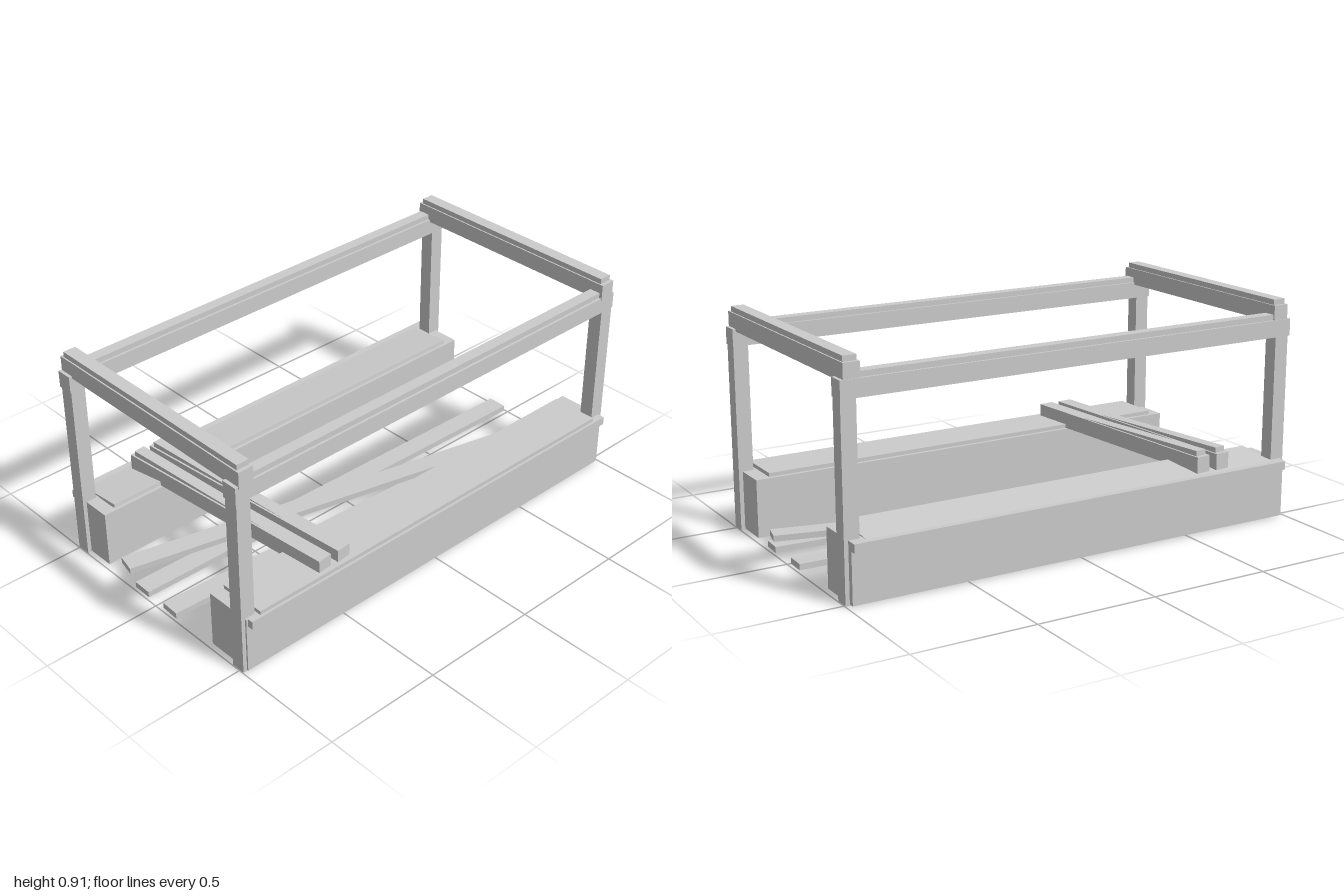
import * as THREE from 'three';

const material = new THREE.MeshStandardMaterial({ color: 0xcccccc, flatShading: true, side: THREE.DoubleSide });

export function createModel() {
  const model = new THREE.Group();

  // Box given by its extents; 'open' leaves out the underside
  function box(name, [x0, x1], [y0, y1], [z0, z1], open = false, parent = model) {
    const geometry = new THREE.BoxGeometry(x1 - x0, y1 - y0, z1 - z0);
    if (open) {
      const index = Array.from(geometry.index.array);
      index.splice(18, 6);
      geometry.setIndex(index);
      geometry.clearGroups();
    }
    const mesh = new THREE.Mesh(geometry, material);
    mesh.name = name;
    mesh.position.set((x0 + x1) / 2, (y0 + y1) / 2, (z0 + z1) / 2);
    parent.add(mesh);
    return mesh;
  }

  for (const s of [-1, 1]) {
    const side = s > 0 ? 'left' : 'right';
    const cx = s * 0.483 + 0.007;

    // Corner posts
    for (const e of [-1, 1]) {
      box(side + (e > 0 ? 'FrontPost' : 'BackPost'), [cx - 0.03, cx + 0.03], [0, 0.8],
        e > 0 ? [0.935, 0.997] : [-0.997, -0.935], true);
    }

    // Long rail with a thin strip on top
    const rx = s > 0 ? 0.488 : -0.48;
    box(side + 'Rail', [rx - 0.034, rx + 0.034], [0.76, 0.83], [-1, 1]);
    box(side + 'RailStrip', [rx - 0.024, rx + 0.024], [0.83, 0.852], [-0.98, 0.98]);

    // Long trough wall block and its outer lip
    box(side + 'Block', s > 0 ? [0.322, 0.527] : [-0.53, -0.325], [0.005, 0.245], [-0.98, 0.98], true);
    box(side + 'Lip', s > 0 ? [0.505, 0.551] : [-0.555, -0.51], [0.21, 0.245], [-0.98, 0.972]);

    // Thin plank lying on the block, the right one slightly tipped
    const plank = box(side + 'Plank', s > 0 ? [0.335, 0.541] : [-0.541, -0.335], [0.246, 0.262], [-0.92, 0.925]);
    if (s < 0) {
      plank.rotation.z = 0.1;
      plank.position.y = 0.246;
    }
  }

  // End beams with cap strips
  for (const e of [-1, 1]) {
    const end = e > 0 ? 'front' : 'back';
    const z = e * 0.953;
    box(end + 'Beam', [-0.511, 0.525], [0.82, 0.89], [z - 0.033, z + 0.033]);
    box(end + 'BeamCap', [-0.498, 0.51], [0.89, 0.912], [z - 0.027, z + 0.027]);
  }

  // Two loose bars resting askew across the blocks, each with a sloping strip
  [0.541, 0.636].forEach((z, i) => {
    const bar = new THREE.Group();
    bar.name = 'looseBar' + (i + 1);
    box('bar', [-0.517, 0.517], [0.246, 0.314], [-0.032, 0.032], false, bar);
    const strip = box('barStrip', [-0.5, 0.5], [0.298, 0.32], [-0.024, 0.024], false, bar);
    strip.rotation.z = -0.03;
    strip.position.y = 0.31;
    bar.position.set(0.005, 0, z);
    bar.rotation.y = 0.087;
    model.add(bar);
  });

  // Floor planks from a front x to a back x: two low, one crossing over them
  const floor = [[-0.097, -0.055, 0.99, 0.005], [0.076, 0.167, 0.99, 0.005], [-0.233, 0.224, 0.965, 0.03]];
  floor.forEach(([xf, xb, z, y], i) => {
    const half = Math.hypot((xb - xf) / 2, z);
    const plank = box('floorPlank' + (i + 1), [-0.042, 0.042], [y, y + 0.025], [-half, half], true);
    plank.position.x = (xf + xb) / 2;
    plank.rotation.y = Math.atan2(xf - xb, 2 * z);
  });

  return model;
}
